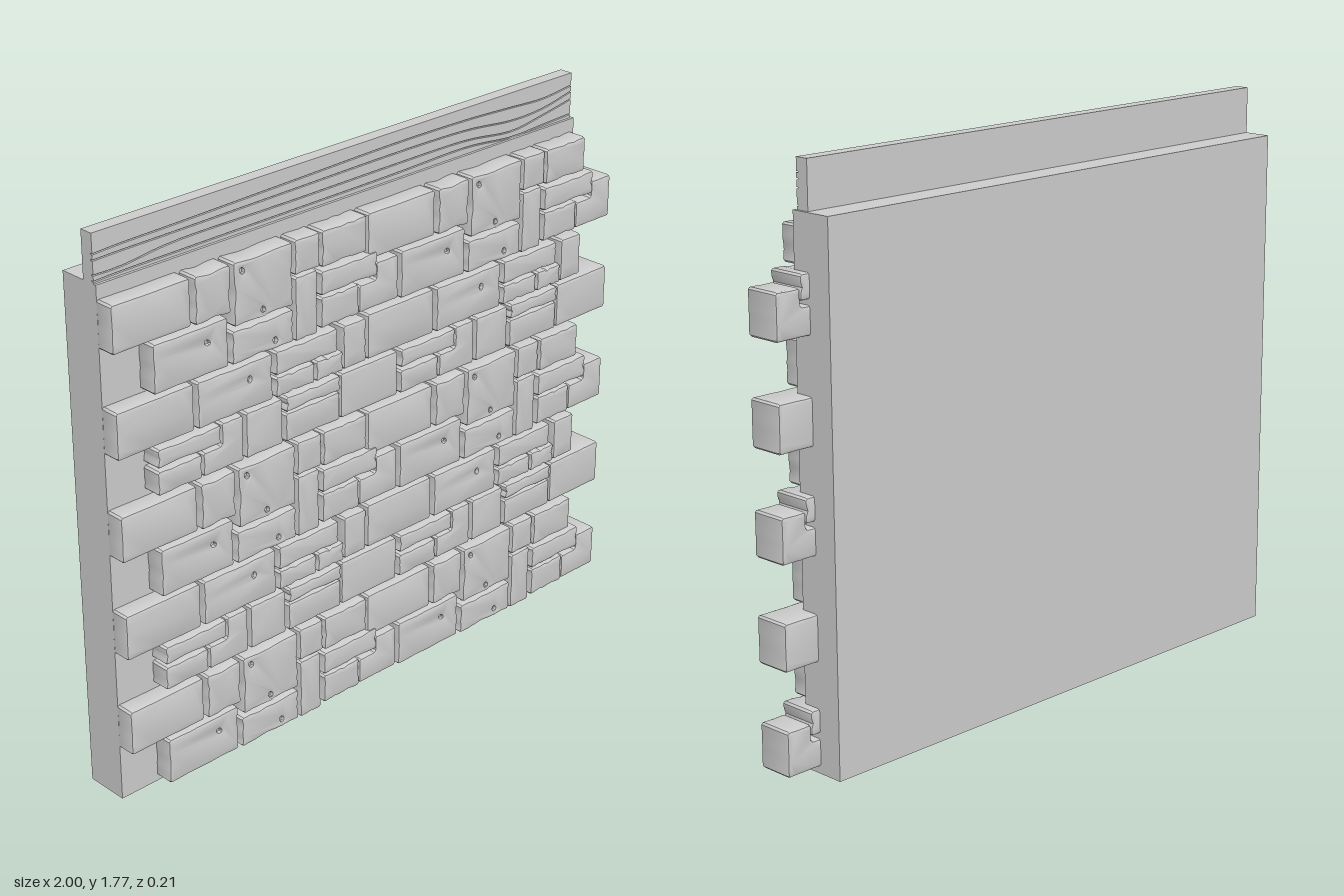
import * as THREE from 'three';
import { toCreasedNormals } from 'three/addons/utils/BufferGeometryUtils.js';

const U = 2 / 374;          // layout unit of the stone pattern
const PERIOD_X = 175.5, PERIOD_Y = 118.4;
const TOP = 1.588;          // top of the first course

const stone = new THREE.MeshStandardMaterial({ color: 0xcccccc });

// Small seeded generator so the stones differ but stay repeatable
function seeded(seed) {
  let s = seed * 7919 + 17;
  return () => (s = (s * 16807) % 2147483647) / 2147483647;
}

// Stones: left, top, right, bottom, roughness, options
const COURSE_A = [
  [0, 0, 51, 27, 0.2],
  [53, 0, 77, 27, 1],
  [79, 0, 120, 36, 1, { pits: [[6, 6], [20, 32]] }],
  [122, 0, 140, 20, 0.5],
  [141, 0, 174, 21, 0.8],
  [140, 23, 182, 37, 1, { corner: true }],
  [25, 29, 75, 57, 0.5, { pits: [[36, 10]] }],
  [77, 38, 120, 57, 1, { pits: [[30, 14]] }],
  [122, 21, 138, 58, 0.5],
  [140, 38, 168, 56, 0.9],
  [169, 30, 198.5, 56, 0.2, { notch: [13, 10], corner: true }],
];
const COURSE_B = [
  [0, 59, 51, 86, 0.2],
  [53, 59, 105, 86, 0.7, { pits: [[36, 10]] }],
  [107, 59, 152, 73, 1],
  [107, 74, 135, 86, 1],
  [136, 74, 156, 86, 1],
  [157, 60, 174, 86, 0.4],
];
const COURSE_C = [
  [25, 88, 68, 99, 1],
  [25, 101, 55, 115, 0.6],
  [56, 88, 84, 115, 0.4, { notch: [13, 13] }],
  [86, 88, 112, 115, 0.4],
  [114, 88, 154, 97, 1],
  [114, 98, 154, 115, 0.5],
  [155, 88, 198.5, 115, 0.2, { corner: true }],
];

// Wavy outline running counter-clockwise through the given corners
function wavyShape(corners, rough, rand) {
  const pts = [];
  corners.forEach((a, i) => {
    const b = corners[(i + 1) % corners.length];
    const dir = b.clone().sub(a), len = dir.length();
    dir.divideScalar(len);
    const cut = 0.006, n = len > 0.1 ? 7 : 4;
    const freq = 1 + rand() * 2, phase = rand() * 6.28;
    for (let k = 0; k <= n; k++) {
      const t = k / n, d = cut + t * (len - 2 * cut);
      const inset = rough * 0.006 * Math.sin(Math.PI * t) * (1 + Math.sin(freq * t * 6.28 + phase)) / 2;
      pts.push(new THREE.Vector2(a.x + dir.x * d - dir.y * inset, a.y + dir.y * d + dir.x * inset));
    }
  });
  return new THREE.Shape(pts);
}

function makeStone([l, t, r, b, rough, opt = {}], deep, seed) {
  const rand = seeded(seed);
  const v = (x, y) => new THREE.Vector2(x * U, -y * U);
  const corners = [v(l, b), v(r, b), v(r, t)];
  if (opt.notch) {
    const [w, h] = opt.notch;
    corners.push(v(l + w, t), v(l + w, t + h), v(l, t + h));
  } else corners.push(v(l, t));
  const shape = wavyShape(corners, rough, rand);

  const group = new THREE.Group();
  group.name = deep ? 'cornerStone' : 'stone';
  const front = 0.094 + 0.007 * rough, back = deep ? -0.025 : 0.01, bevel = 0.009;
  // Small chipped pits, each closed by a floor just below the face
  for (const [px, py] of opt.pits ?? []) {
    const c = v(l + px, t + py), hole = new THREE.Path();
    hole.absellipse(c.x, c.y, 0.006, 0.009, 0, Math.PI * 2, true, rand());
    shape.holes.push(hole);
    const floor = new THREE.Mesh(new THREE.BoxGeometry(0.05, 0.05, 0.04), stone);
    floor.name = 'pitFloor';
    floor.position.set(c.x, c.y, front - 0.033);
    floor.scale.set(0.7, 0.7, 1);
    group.add(floor);
  }
  const geo = new THREE.ExtrudeGeometry(shape, {
    depth: front - back - 2 * bevel, curveSegments: 5,
    bevelEnabled: true, bevelThickness: bevel, bevelSize: bevel, bevelOffset: -bevel, bevelSegments: 2,
  });
  geo.translate(0, 0, back + bevel);
  const body = new THREE.Mesh(toCreasedNormals(geo, 0.6), stone);
  body.name = 'stoneBody';
  // Pit rims keep full size by being placed in the same frame as the floor
  group.add(body);
  return group;
}

function box(name, x0, x1, y0, y1, z0, z1) {
  const m = new THREE.Mesh(new THREE.BoxGeometry(x1 - x0, y1 - y0, z1 - z0), stone);
  m.name = name;
  m.position.set((x0 + x1) / 2, (y0 + y1) / 2, (z0 + z1) / 2);
  return m;
}

// Timber plank: a core faced with strips parted by wavy grain grooves
function makePlank() {
  const plank = new THREE.Group();
  plank.name = 'plank';
  const x0 = -1, x1 = 0.872, y0 = 1.6, y1 = 1.775;
  plank.add(box('plankCore', x0, x1, y0, y1, -0.017, 0.02));
  const xs = [-1, -0.9, -0.7, -0.3, 0.1, 0.4, 0.6, 0.74, x1];
  const grain = [
    [1.6, 1.6, 1.6, 1.6, 1.6, 1.6, 1.6, 1.6, 1.6],
    [1.637, 1.64, 1.641, 1.643, 1.645, 1.65, 1.633, 1.637, 1.642],
    [1.655, 1.655, 1.673, 1.672, 1.674, 1.672, 1.652, 1.668, 1.69],
    [1.697, 1.699, 1.7, 1.704, 1.708, 1.704, 1.686, 1.69, 1.715],
    [1.715, 1.719, 1.722, 1.73, 1.738, 1.736, 1.728, 1.722, 1.734],
    [1.775, 1.775, 1.775, 1.775, 1.775, 1.775, 1.775, 1.775, 1.775],
  ];
  const curve = (ys, off) => new THREE.SplineCurve(xs.map((x, i) => new THREE.Vector2(x, ys[i] + off))).getPoints(40);
  for (let i = 0; i < grain.length - 1; i++) {
    const low = curve(grain[i], i ? 0.002 : 0);
    const high = curve(grain[i + 1], i < grain.length - 2 ? -0.002 : 0);
    const geo = new THREE.ExtrudeGeometry(new THREE.Shape([...low, ...high.reverse()]), { depth: 0.012, bevelEnabled: false });
    const strip = new THREE.Mesh(geo, stone);
    strip.name = 'grainStrip';
    strip.position.z = 0.015;
    plank.add(strip);
  }
  return plank;
}

export function createModel() {
  const model = new THREE.Group();
  model.name = 'stoneWall';
  model.add(box('backSlab', -1, 0.88, 0, 1.63, -0.105, 0.036), makePlank());

  // The pattern repeats twice across and two and a half times down
  const stones = new THREE.Group();
  stones.name = 'stones';
  for (let row = 0; row < 3; row++) {
    const layout = row < 2 ? [...COURSE_A, ...COURSE_B, ...COURSE_C] : COURSE_A;
    for (let col = 0; col < 2; col++) {
      layout.forEach((s, i) => {
        const m = makeStone(s, col === 1 && !!s[5]?.corner, i + 1);
        m.position.set(-1 + col * PERIOD_X * U, TOP - row * PERIOD_Y * U, 0);
        stones.add(m);
      });
    }
  }
  model.add(stones);
  return model;
}
